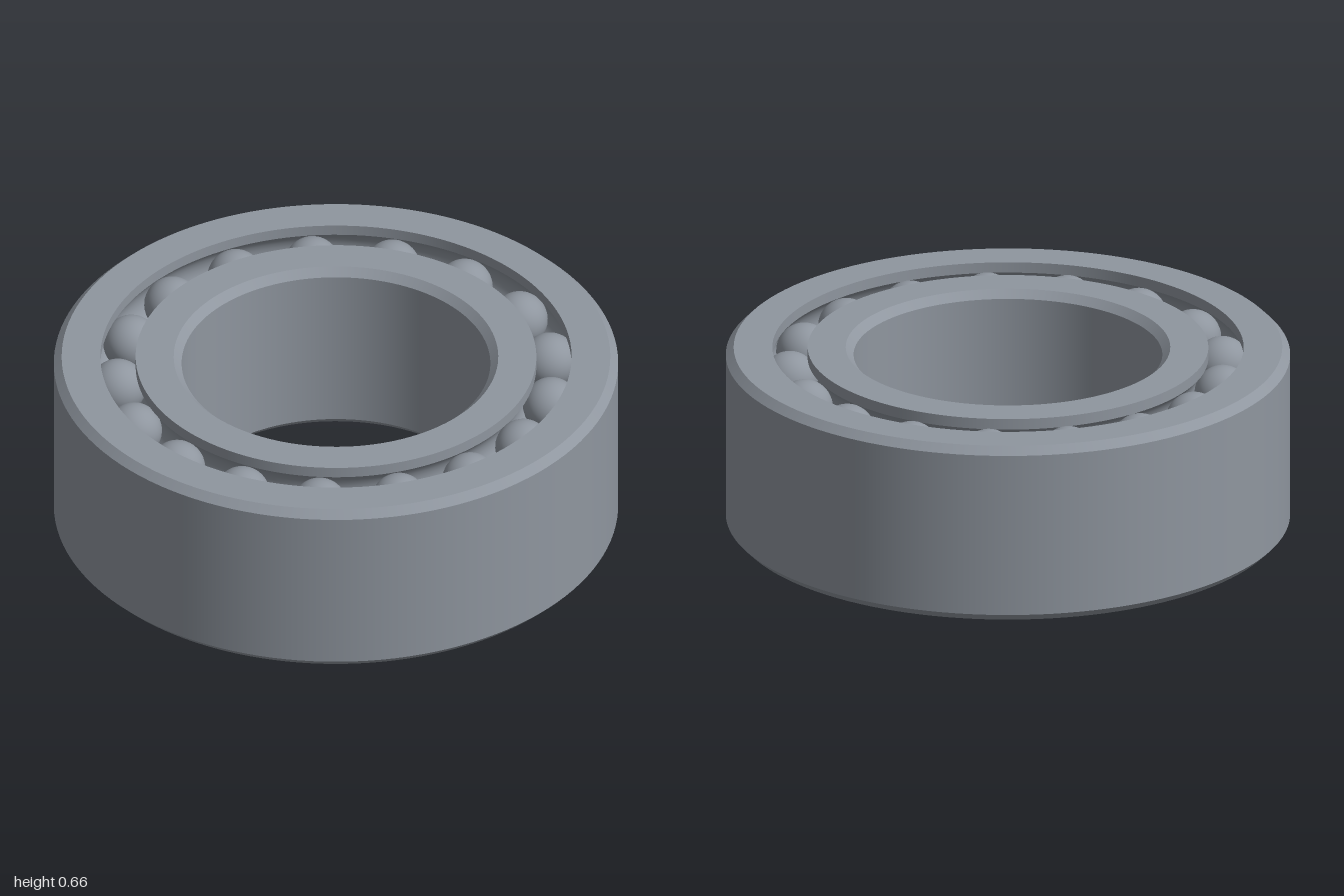
import * as THREE from 'three';
import { mergeGeometries } from 'three/addons/utils/BufferGeometryUtils.js';

const HEIGHT = 0.66, CHAMFER = 0.028;
const PITCH = 0.773, BALL_R = 0.1, BALLS = 17;
const ROWS = [0.12, HEIGHT - 0.12];

// Revolve a closed loop of profile runs; each run is smooth, corners between runs stay sharp.
function ring(runs) {
  return mergeGeometries(runs.map((run) =>
    new THREE.LatheGeometry(run.map(([r, y]) => new THREE.Vector2(r, y)), 128)));
}

// Runs of a wall at radius r, going up, with a ball groove at each row.
function groovedWall(r) {
  const grooveR = BALL_R + 0.002;
  const dx = r - PITCH;
  const half = Math.sqrt(grooveR * grooveR - dx * dx);
  const a = Math.atan2(half, Math.abs(dx));
  const runs = [];
  let y = 0;
  for (const row of ROWS) {
    runs.push([[r, y], [r, row - half]]);
    const arc = [];
    for (let i = 0; i <= 10; i++) {
      const t = -a + (2 * a * i) / 10;
      arc.push([PITCH + Math.sign(dx) * grooveR * Math.cos(t), row + grooveR * Math.sin(t)]);
    }
    runs.push(arc);
    y = row + half;
  }
  runs.push([[r, y], [r, HEIGHT]]);
  return runs;
}

const reversed = (runs) => runs.map((run) => [...run].reverse()).reverse();

// Runs of a plain wall with chamfered ends; inset is the signed radial chamfer.
function chamferedWall(r, inset) {
  return [
    [[r + inset, 0], [r, CHAMFER]],
    [[r, CHAMFER], [r, HEIGHT - CHAMFER]],
    [[r, HEIGHT - CHAMFER], [r + inset, HEIGHT]],
  ];
}

export function createModel() {
  const model = new THREE.Group();
  model.name = 'ballBearing';
  const steel = new THREE.MeshStandardMaterial({ color: 0x8f969f });
  steel.name = 'steel';

  const add = (name, geometry, parent = model) => {
    const mesh = new THREE.Mesh(geometry, steel);
    mesh.name = name;
    parent.add(mesh);
    return mesh;
  };

  // Outer ring: chamfered outside, grooved inside
  const outerIn = 0.835;
  add('outerRing', ring([
    ...chamferedWall(1, -CHAMFER),
    [[1 - CHAMFER, HEIGHT], [outerIn, HEIGHT]],
    ...reversed(groovedWall(outerIn)),
    [[outerIn, 0], [1 - CHAMFER, 0]],
  ]));

  // Inner ring: grooved outside, chamfered bore
  const innerOut = 0.71, bore = 0.547;
  add('innerRing', ring([
    ...groovedWall(innerOut),
    [[innerOut, HEIGHT], [bore + CHAMFER, HEIGHT]],
    ...reversed(chamferedWall(bore, CHAMFER)),
    [[bore + CHAMFER, 0], [innerOut, 0]],
  ]));

  // Two aligned rows of balls
  const ballGeometry = new THREE.SphereGeometry(BALL_R, 32, 20);
  ROWS.forEach((y, rowIndex) => {
    const row = new THREE.Group();
    row.name = rowIndex ? 'upperBallRow' : 'lowerBallRow';
    model.add(row);
    for (let i = 0; i < BALLS; i++) {
      const t = THREE.MathUtils.degToRad(-3.9) + (i / BALLS) * Math.PI * 2;
      add('ball', ballGeometry, row).position.set(PITCH * Math.sin(t), y, -PITCH * Math.cos(t));
    }
  });

  return model;
}
